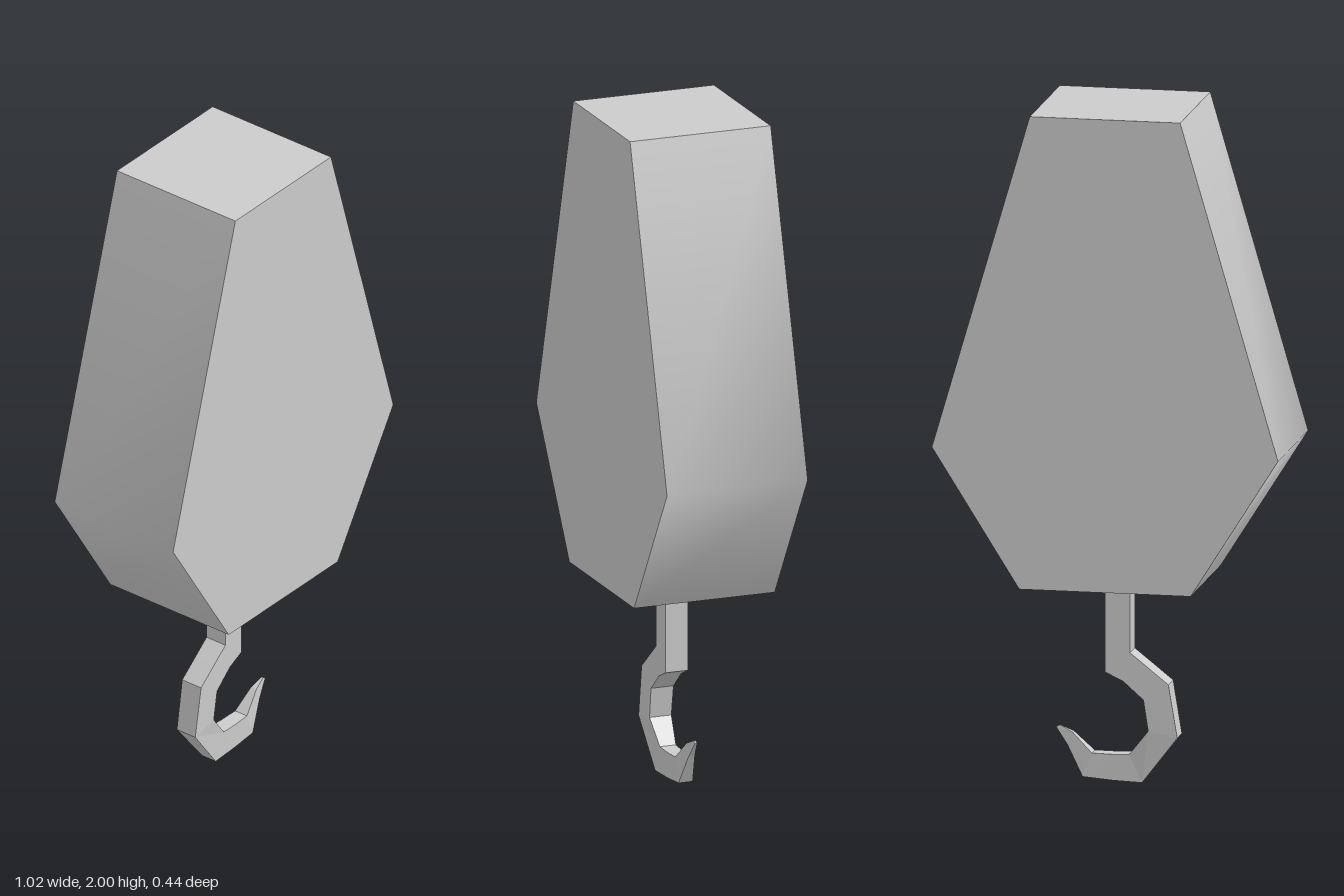
import * as THREE from 'three';
import { toCreasedNormals } from 'three/addons/utils/BufferGeometryUtils.js';

// Square-section bar through sections [outerX, outerY, innerX, innerY, halfDepth]
function sectionBar(sections) {
  const positions = sections.flatMap(([ox, oy, ix, iy, h]) =>
    [ox, oy, h, ix, iy, h, ix, iy, -h, ox, oy, -h]);
  const index = [];
  for (let i = 0; i < sections.length - 1; i++) {
    for (let j = 0; j < 4; j++) {
      const k = (j + 1) % 4;
      const a = i * 4 + j, b = a + 4, c = i * 4 + 4 + k, d = i * 4 + k;
      index.push(a, b, c, a, c, d);
    }
  }
  const e = (sections.length - 1) * 4;
  index.push(0, 1, 2, 0, 2, 3, e, e + 2, e + 1, e, e + 3, e + 2);
  const geometry = new THREE.BufferGeometry();
  geometry.setAttribute('position', new THREE.Float32BufferAttribute(positions, 3));
  geometry.setIndex(index);
  geometry.computeVertexNormals();
  return geometry;
}

export function createModel() {
  const group = new THREE.Group();

  // Tapered six-sided block, softly shaded across its widest edges
  const half = [[0.253, 0.6], [0.511, 1.01], [0.222, 2]];
  const outline = [...half, ...half.map(([x, y]) => [-x, y]).reverse()];
  const shape = new THREE.Shape(outline.map(([x, y]) => new THREE.Vector2(x, y)));
  const blockGeometry = new THREE.ExtrudeGeometry(shape, { depth: 0.438, bevelEnabled: false });
  blockGeometry.translate(0, 0, -0.219);
  const block = new THREE.Mesh(
    toCreasedNormals(blockGeometry, 0.9),
    new THREE.MeshStandardMaterial({ color: 0xcccccc }));
  block.name = 'pulleyBlock';
  group.add(block);

  // Shank and hook, thinning toward the point
  const hook = new THREE.Mesh(
    sectionBar([
      [-0.037, 0.6, 0.037, 0.6, 0.035],
      [-0.037, 0.385, 0.037, 0.325, 0.035],
      [-0.09, 0.343, -0.016, 0.3, 0.035],
      [-0.15, 0.295, -0.076, 0.247, 0.035],
      [-0.176, 0.138, -0.09, 0.155, 0.034],
      [-0.07, 0, -0.032, 0.082, 0.025],
      [0.016, 0.003, 0.016, 0.08, 0.024],
      [0.106, 0.01, 0.079, 0.081, 0.022],
      [0.153, 0.1, 0.138, 0.138, 0.01],
      [0.188, 0.15, 0.178, 0.156, 0.003],
    ]),
    new THREE.MeshStandardMaterial({ color: 0xcccccc, flatShading: true }));
  hook.name = 'hook';
  group.add(hook);

  return group;
}
